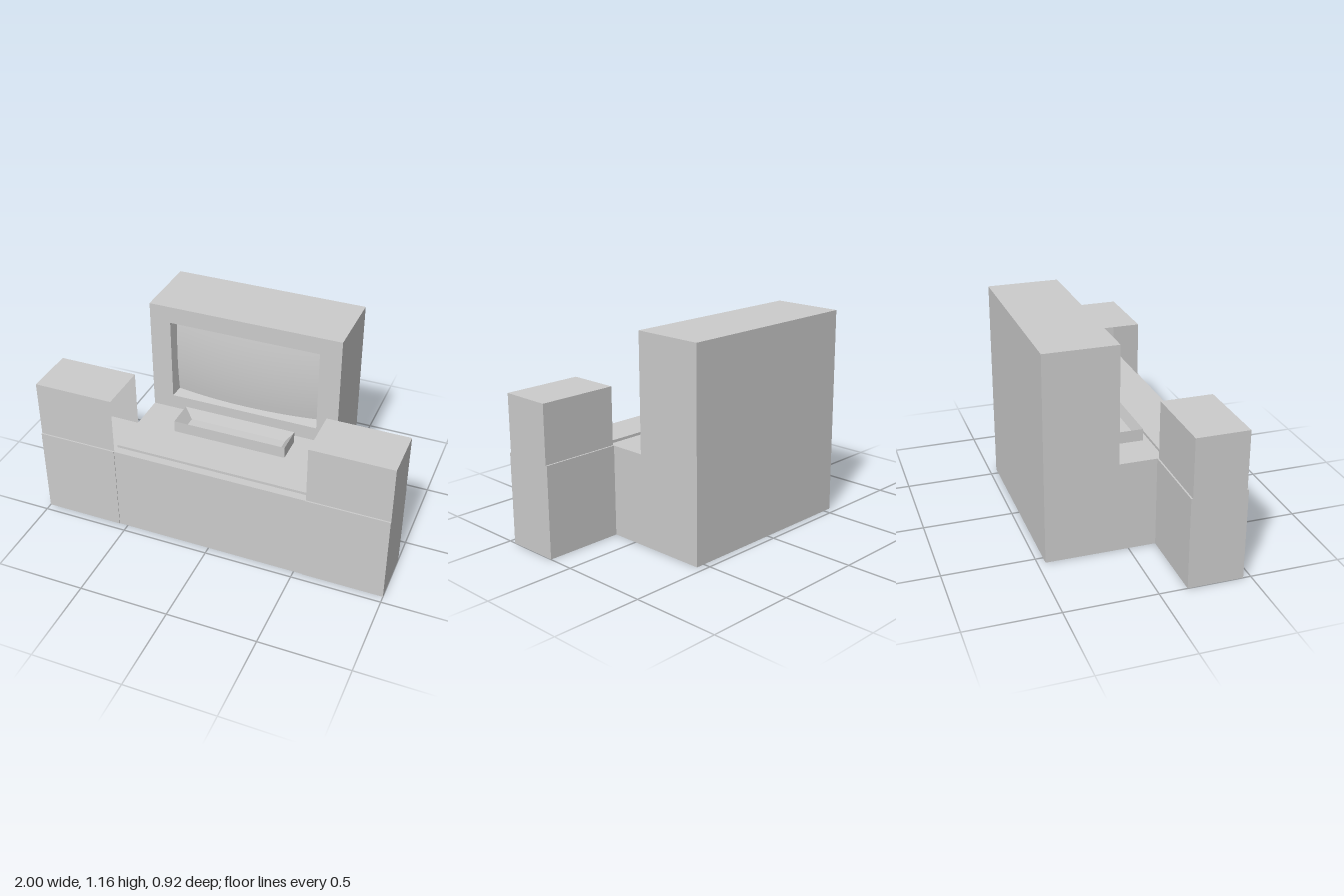
import * as THREE from 'three';

const solid = new THREE.MeshStandardMaterial({ color: 0xcccccc });
const sheet = new THREE.MeshStandardMaterial({ color: 0xcccccc, side: THREE.DoubleSide });

// Box faces in the order BoxGeometry stores them
const FACE = { right: 0, left: 1, top: 2, bottom: 3, front: 4, back: 5 };

// Box given by its limits, with some faces left open
function box(name, [x0, x1], [y0, y1], [z0, z1], open = []) {
  const g = new THREE.BoxGeometry(x1 - x0, y1 - y0, z1 - z0);
  const index = Array.from(g.index.array);
  g.setIndex(index.filter((_, i) => !open.includes(Math.floor(i / 6))));
  g.clearGroups();
  g.translate((x0 + x1) / 2, (y0 + y1) / 2, (z0 + z1) / 2);
  const m = new THREE.Mesh(g, open.length ? sheet : solid);
  m.name = name;
  return m;
}

// Four sloping walls from a rectangular mouth (z = 0) to a smaller rectangle (z = -depth)
function funnel(name, w0, h0, w1, h1, depth) {
  const ring = (w, h, z) => [[-1, -1], [1, -1], [1, 1], [-1, 1]].map(([a, b]) => [a * w / 2, b * h / 2, z]);
  const mouth = ring(w0, h0, 0), floor = ring(w1, h1, -depth);
  const pos = [];
  for (let i = 0; i < 4; i++) {
    const j = (i + 1) % 4;
    pos.push(...mouth[i], ...mouth[j], ...floor[j], ...mouth[i], ...floor[j], ...floor[i]);
  }
  const g = new THREE.BufferGeometry();
  g.setAttribute('position', new THREE.Float32BufferAttribute(pos, 3));
  g.computeVertexNormals();
  const m = new THREE.Mesh(g, sheet);
  m.name = name;
  return m;
}

export function createModel() {
  const model = new THREE.Group();
  model.name = 'consoleDesk';
  const HALF = 0.55, DESK = 0.51, FACE_Z = -0.055;

  // Desk and its slightly raised panel
  model.add(box('deskBase', [-HALF, HALF], [0, DESK], [FACE_Z, 0.455]));
  model.add(box('deskPanel', [-HALF, HALF], [DESK, 0.525], [0.19, 0.41]));

  // Tall screen housing, its front closed by a bezel with an opening
  model.add(box('screenHousing', [-HALF, HALF], [0, 1.165], [-0.458, FACE_Z], [FACE.front]));
  const w = 0.86, h = 0.475, cy = 0.83;
  const face = new THREE.Shape([[-HALF, DESK], [HALF, DESK], [HALF, 1.165], [-HALF, 1.165]]
    .map(p => new THREE.Vector2(...p)));
  face.holes.push(new THREE.Path([[-1, -1], [-1, 1], [1, 1], [1, -1]]
    .map(([a, b]) => new THREE.Vector2(a * w / 2, cy + b * h / 2))));
  const bezel = new THREE.Mesh(new THREE.ShapeGeometry(face), sheet);
  bezel.name = 'screenBezel';
  bezel.position.z = FACE_Z;
  model.add(bezel);

  const recess = funnel('screenRecess', w, h, w - 0.02, h - 0.02, 0.07);
  recess.position.set(0, cy, FACE_Z);
  model.add(recess);

  // Bulging screen
  const sw = w - 0.02, sh = h - 0.02;
  const glass = new THREE.PlaneGeometry(sw, sh, 16, 12);
  const p = glass.attributes.position;
  for (let i = 0; i < p.count; i++) {
    const u = 2 * p.getX(i) / sw, v = 2 * p.getY(i) / sh;
    p.setZ(i, 0.035 * (1 - u * u) + 0.015 * (1 - v * v));
  }
  glass.computeVertexNormals();
  const screen = new THREE.Mesh(glass, solid);
  screen.name = 'screen';
  screen.position.set(0, cy, FACE_Z - 0.07);
  model.add(screen);

  // Open tray with sloping inner walls
  const trayTop = 0.577, trayZ = 0.08;
  model.add(box('trayOuter', [-0.325, 0.325], [DESK, trayTop], [0.003, 0.157], [FACE.top, FACE.bottom]));
  const inner = funnel('trayInner', 0.65, 0.154, 0.56, 0.11, 0.06);
  inner.rotation.x = -Math.PI / 2;
  inner.position.set(0, trayTop, trayZ);
  const floor = new THREE.Mesh(new THREE.PlaneGeometry(0.56, 0.11), solid);
  floor.name = 'trayFloor';
  floor.rotation.x = -Math.PI / 2;
  floor.position.set(0, trayTop - 0.06, trayZ);
  model.add(inner, floor);

  // Side cabinets: solid lower block, upper block open towards the desk
  for (const s of [-1, 1]) {
    const xs = s > 0 ? [HALF, 1] : [-1, -HALF];
    const side = new THREE.Group();
    side.name = s > 0 ? 'leftCabinet' : 'rightCabinet';
    side.add(box('cabinetBase', xs, [0, DESK], [0.153, 0.458]));
    side.add(box('cabinetTop', xs, [DESK, 0.834], [0.162, 0.45],
      [s > 0 ? FACE.left : FACE.right, FACE.bottom]));
    model.add(side);
  }
  return model;
}
